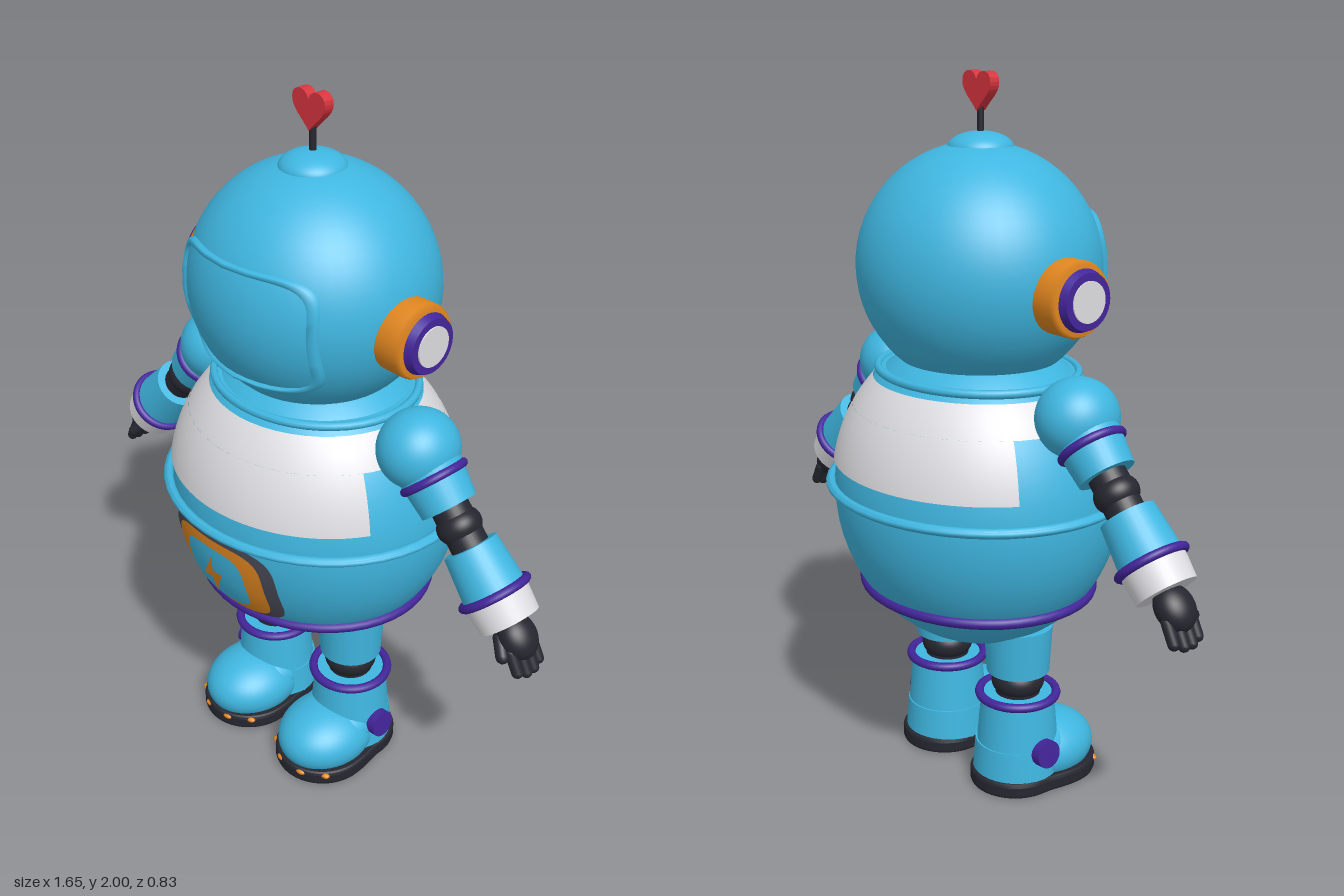
import * as THREE from 'three';

const mat = (name, color) => {
  const m = new THREE.MeshStandardMaterial({ color });
  m.name = name;
  return m;
};

export function createModel() {
  const blue = mat('sky blue', 0x3fb6e0), white = mat('light grey', 0xdedee2);
  const orange = mat('orange', 0xe08620), purple = mat('purple', 0x43259a);
  const black = mat('near black', 0x262630), grey = mat('slate grey', 0x484a56);
  const red = mat('red', 0xd8343e);

  const robot = new THREE.Group();
  robot.name = 'robot';

  const add = (parent, name, geometry, material, x = 0, y = 0, z = 0) => {
    const m = new THREE.Mesh(geometry, material);
    m.name = name;
    m.position.set(x, y, z);
    parent.add(m);
    return m;
  };
  const group = (name, x, y, z) => {
    const g = new THREE.Group();
    g.name = name;
    g.position.set(x, y, z);
    robot.add(g);
    return g;
  };
  const ball = (rx, ry, rz) => new THREE.SphereGeometry(1, 48, 32).scale(rx, ry, rz);
  const drum = (top, bottom, h) => new THREE.CylinderGeometry(top, bottom, h, 32);
  const hoop = (rx, rz, tube) =>
    new THREE.TorusGeometry(1, tube / rx, 10, 48).rotateX(Math.PI / 2).scale(rx, rx, rz);

  const HEAD = { y: 1.49, z: 0.005, rx: 0.345, ry: 0.332, rz: 0.328 };
  const BODY = { y: 0.86, z: 0, rx: 0.43, ry: 0.45, rz: 0.39 };
  const frontZ = (e, x, y) =>
    e.z + e.rz * Math.sqrt(Math.max(0, 1 - (x / e.rx) ** 2 - ((y - e.y) / e.ry) ** 2));

  // Rounded panel wrapped on the front of an ellipsoid; rows are [scale, offset]
  const panel = (e, cy, w, h, power, rows) => {
    const n = 96, pos = [], idx = [];
    const pw = v => Math.sign(v) * Math.abs(v) ** power;
    for (const [s, off] of rows)
      for (let j = 0; j < n; j++) {
        const a = (j / n) * Math.PI * 2;
        const x = w * s * pw(Math.cos(a)), y = cy + h * s * pw(Math.sin(a));
        pos.push(x, y, frontZ(e, x, y) + off);
      }
    for (let i = 0; i < rows.length - 1; i++)
      for (let j = 0; j < n; j++) {
        const a = i * n + j, b = i * n + (j + 1) % n;
        idx.push(a, b, a + n, b, b + n, a + n);
      }
    const g = new THREE.BufferGeometry();
    g.setAttribute('position', new THREE.Float32BufferAttribute(pos, 3));
    g.setIndex(idx);
    g.computeVertexNormals();
    return g;
  };
  const filled = off => [1, 0.8, 0.6, 0.4, 0.2, 0].map(s => [s, off]);

  // Head, visor frame and antenna
  add(robot, 'head', ball(HEAD.rx, HEAD.ry, HEAD.rz), blue, 0, HEAD.y, HEAD.z);
  add(robot, 'visorFrame', panel(HEAD, 1.47, 0.25, 0.165, 0.42,
    [[1, -0.01], [1, 0.014], [0.94, 0.014], [0.93, -0.002]]), blue);
  add(robot, 'antennaCap', ball(0.09, 0.045, 0.09), blue, 0, 1.803, 0.01);
  add(robot, 'antennaRod', drum(0.009, 0.009, 0.1), black, 0, 1.88, 0.01);
  const heart = new THREE.Shape();
  heart.moveTo(0, 0);
  heart.bezierCurveTo(-0.025, 0.03, -0.058, 0.045, -0.058, 0.075);
  heart.bezierCurveTo(-0.058, 0.108, -0.01, 0.112, 0, 0.08);
  heart.bezierCurveTo(0.01, 0.112, 0.058, 0.108, 0.058, 0.075);
  heart.bezierCurveTo(0.058, 0.045, 0.025, 0.03, 0, 0);
  add(robot, 'antennaHeart', new THREE.ExtrudeGeometry(heart,
    { depth: 0.03, bevelEnabled: false, curveSegments: 8 }), red, 0, 1.9, -0.005);

  // Torso with collar, belt and hip ring
  add(robot, 'torso', ball(BODY.rx, BODY.ry, BODY.rz), blue, 0, BODY.y, BODY.z);
  add(robot, 'collar', drum(1, 1, 0.03).scale(0.285, 1, 0.26), blue, 0, 1.195, 0);
  add(robot, 'collarRim', hoop(0.298, 0.262, 0.012), blue, 0, 1.207, 0);
  add(robot, 'beltUpper', hoop(0.44, 0.4, 0.014), blue, 0, 0.878, 0);
  add(robot, 'belt', hoop(0.448, 0.406, 0.009), blue, 0, 0.878, 0);
  add(robot, 'hipRing', hoop(0.346, 0.312, 0.016), purple, 0, 0.585, 0);

  // Pale chest and back plates, joined by a band above the arm openings
  const shell = (name, y0, y1, phi, span) => {
    const t0 = Math.acos((y1 - BODY.y) / BODY.ry), t1 = Math.acos((y0 - BODY.y) / BODY.ry);
    add(robot, name, new THREE.SphereGeometry(1, 48, 10, phi, span, t0, t1 - t0)
      .scale(BODY.rx + 0.008, BODY.ry + 0.006, BODY.rz + 0.008), white, 0, BODY.y, BODY.z);
  };
  const open = 0.46;
  shell('shoulderBand', 1.1, 1.18, 0, Math.PI * 2);
  shell('chestPlate', 0.945, 1.1, open, Math.PI - 2 * open);
  shell('backPlate', 0.945, 1.1, Math.PI + open, Math.PI - 2 * open);

  // Belly badge
  add(robot, 'badgeSurround', panel(BODY, 0.73, 0.2, 0.132, 0.5, filled(0.005)), grey);
  add(robot, 'badgeFrame', panel(BODY, 0.728, 0.165, 0.12, 0.5, filled(0.009)), orange);
  add(robot, 'badgeCentre', panel(BODY, 0.727, 0.112, 0.096, 0.55, filled(0.013)), blue);
  const bolt = new THREE.ShapeGeometry(new THREE.Shape([
    [0.015, 0.08], [-0.04, -0.012], [-0.004, -0.012], [-0.018, -0.08], [0.04, 0.02], [0.006, 0.02],
  ].map(([x, y]) => new THREE.Vector2(x, y))));
  const bp = bolt.attributes.position;
  for (let i = 0; i < bp.count; i++)
    bp.setZ(i, frontZ(BODY, bp.getX(i), bp.getY(i) + 0.723) + 0.02);
  bolt.computeVertexNormals();
  add(robot, 'badgeBolt', bolt, orange, 0, 0.723, 0);

  for (const s of [-1, 1]) {
    const side = s > 0 ? 'left' : 'right';

    // Ear cups, with their axis along x
    const ear = group(side + 'Ear', s * 0.33, 1.458, 0.012);
    ear.rotation.z = -s * Math.PI / 2;
    add(ear, 'earCup', new THREE.LatheGeometry([[0, -0.03], [0.098, -0.03], [0.1, 0], [0.1, 0.06],
      [0.092, 0.075], [0, 0.076]].map(p => new THREE.Vector2(...p)), 32), orange);
    add(ear, 'earRing', drum(0.074, 0.085, 0.03), purple, 0, 0.082, 0);
    add(ear, 'earCentre', drum(0.054, 0.054, 0.008), white, 0, 0.097, 0);

    // Arm, hanging along local -y from the shoulder
    const arm = group(side + 'Arm', s * 0.395, 1.15, 0.012);
    arm.rotation.z = s * 0.736;
    add(arm, 'shoulder', ball(0.108, 0.108, 0.115), blue);
    add(arm, 'upperArm', drum(0.095, 0.078, 0.17), blue, 0, -0.085, 0);
    add(arm, 'upperArmRing', hoop(0.083, 0.086, 0.012), purple, 0, -0.085, 0);
    add(arm, 'elbow', drum(0.052, 0.052, 0.14), black, 0, -0.235, 0);
    add(arm, 'elbowBall', ball(0.062, 0.05, 0.062), black, 0, -0.225, 0);
    add(arm, 'forearm', drum(0.076, 0.088, 0.14), blue, 0, -0.355, 0);
    add(arm, 'wristRing', hoop(0.09, 0.093, 0.012), purple, 0, -0.42, 0);
    add(arm, 'cuff', drum(0.09, 0.084, 0.085), white, 0, -0.46, 0);

    // Hand with four fingers and a thumb
    add(arm, 'palm', ball(0.046, 0.065, 0.056), black, 0, -0.545, 0);
    for (let i = 0; i < 4; i++) {
      const f = add(arm, 'finger', new THREE.CapsuleGeometry(0.016, 0.055, 4, 12), black,
        -s * 0.012, i === 0 || i === 3 ? -0.6 : -0.612, (i - 1.5) * 0.028);
      f.rotation.z = -s * 0.25;
    }
    const thumb = add(arm, 'thumb', new THREE.CapsuleGeometry(0.018, 0.05, 4, 12), black,
      -s * 0.02, -0.55, 0.05);
    thumb.rotation.x = -0.45;

    // Leg and boot
    const leg = group(side + 'Leg', s * 0.165, 0, 0.015);
    add(leg, 'thigh', drum(0.098, 0.09, 0.14), blue, 0, 0.42, 0);
    add(leg, 'knee', ball(0.076, 0.055, 0.076), black, 0, 0.318, 0);
    add(leg, 'shin', drum(0.064, 0.064, 0.1), black, 0, 0.3, 0);
    add(leg, 'bootRing', hoop(0.11, 0.11, 0.013), purple, 0, 0.278, 0);
    add(leg, 'bootShaft', drum(0.104, 0.118, 0.16), blue, 0, 0.2, 0);
    add(leg, 'bootHeel', drum(0.118, 0.126, 0.1), blue, -s * 0.002, 0.085, -0.003);
    const toe = new THREE.SphereGeometry(1, 40, 16, 0, Math.PI * 2, 0, Math.PI * 0.62)
      .scale(0.132, 0.1, 0.155);
    add(leg, 'bootToe', toe, blue, 0, 0.083, 0.1);
    add(leg, 'bootInstep', ball(0.118, 0.075, 0.13), blue, 0, 0.11, 0.05);

    // Oval sole, laid flat
    const outline = new THREE.Shape();
    outline.absarc(0, 0.115, 0.138, Math.PI, 0, true);
    outline.bezierCurveTo(0.138, 0.05, 0.125, 0.04, 0.125, -0.01);
    outline.absarc(0, -0.01, 0.125, 0, Math.PI, true);
    outline.bezierCurveTo(-0.125, 0.04, -0.138, 0.05, -0.138, 0.115);
    const sole = new THREE.ExtrudeGeometry(outline, { depth: 0.025, bevelThickness: 0.01,
      bevelSize: 0.008, bevelOffset: -0.004, bevelSegments: 2, curveSegments: 20 });
    add(leg, 'sole', sole.rotateX(Math.PI / 2).scale(1, 1, 1), black, 0, 0.037, 0);
    for (const a of [-0.85, -0.3, 0.3, 0.85])
      add(leg, 'soleStud', ball(0.018, 0.009, 0.012), orange,
        Math.sin(a) * 0.134, 0.036, 0.115 + Math.cos(a) * 0.134);

    const ankle = add(leg, 'ankleDisc', drum(0.04, 0.04, 0.03), purple, s * 0.125, 0.13, 0);
    ankle.rotation.z = Math.PI / 2 + s * 0.1;
  }

  return robot;
}
